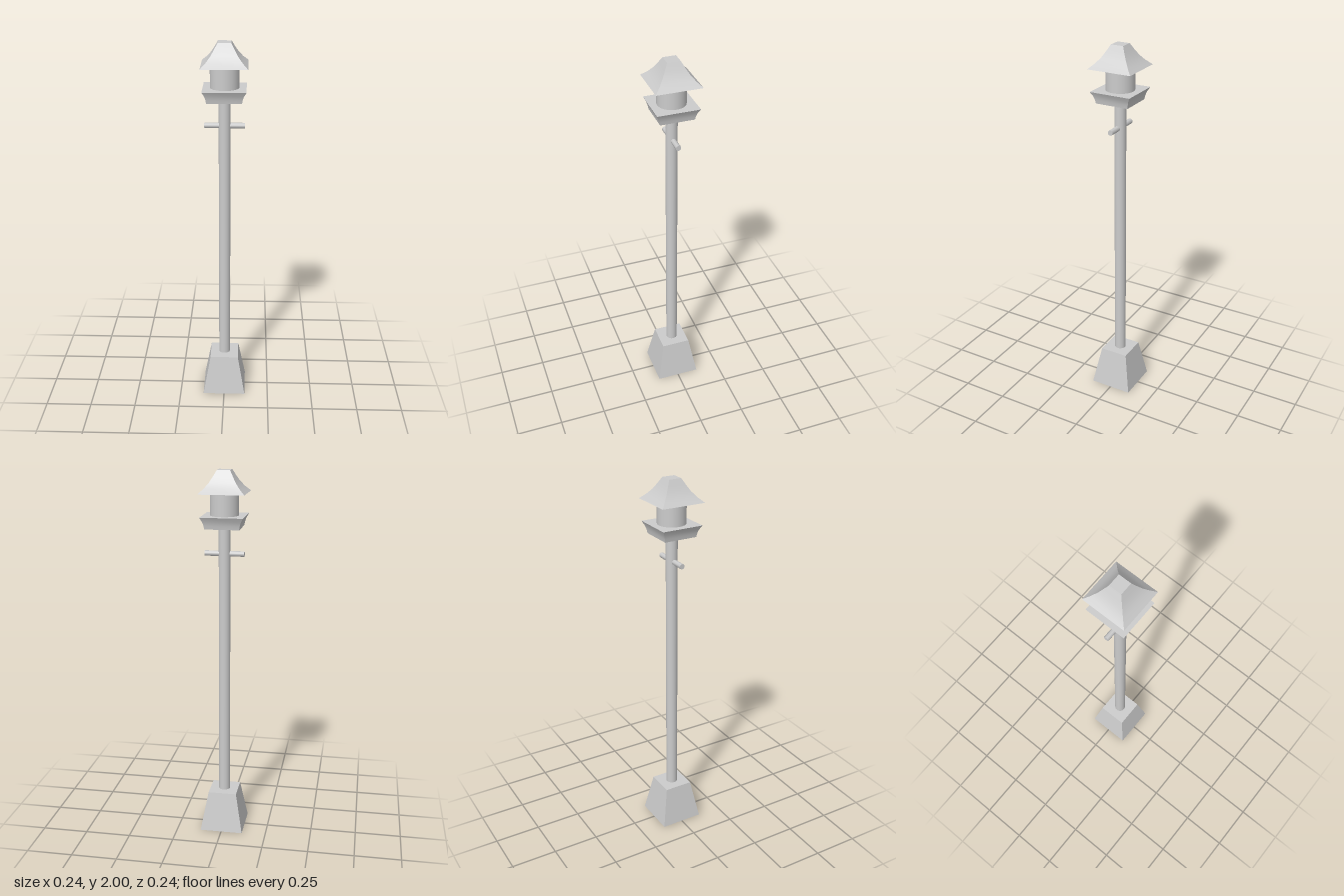
import * as THREE from 'three';
import { toCreasedNormals } from 'three/addons/utils/BufferGeometryUtils.js';

export function createModel() {
  const model = new THREE.Group();
  const material = new THREE.MeshStandardMaterial({ color: 0xcccccc });

  function add(name, geometry, y = 0) {
    const mesh = new THREE.Mesh(geometry, material);
    mesh.name = name;
    mesh.position.y = y;
    model.add(mesh);
    return mesh;
  }

  // Closed four-sided solid from [half width, height] pairs, bottom to top
  function squareProfile(profile) {
    const rings = profile.map(([half, y]) => new THREE.Vector2(half * Math.SQRT2, y));
    const points = [
      new THREE.Vector2(0, rings[0].y),
      ...rings,
      new THREE.Vector2(0, rings[rings.length - 1].y),
    ];
    return toCreasedNormals(new THREE.LatheGeometry(points, 4, Math.PI / 4), 0.6);
  }

  // Tapered foot and round post
  add('base', squareProfile([[0.118, 0], [0.078, 0.22]]));
  add('post', new THREE.CylinderGeometry(0.031, 0.031, 1.51, 20), 0.965);

  // Ladder rest running through the post
  const bar = new THREE.CylinderGeometry(0.0145, 0.0145, 0.21, 8);
  bar.rotateY(Math.PI / 8).rotateZ(Math.PI / 2);
  add('crossbar', bar, 1.57);

  // Lantern: flared tray, round lamp body, swept roof
  add('tray', squareProfile([[0.09, 1.707], [0.093, 1.725], [0.099, 1.745], [0.112, 1.769]]));
  add('lampBody', new THREE.CylinderGeometry(0.075, 0.075, 0.13, 24), 1.83);
  add('roof', squareProfile([[0.12, 1.885], [0.092, 1.911], [0.069, 1.939], [0.051, 1.969], [0.034, 2]]));

  return model;
}
